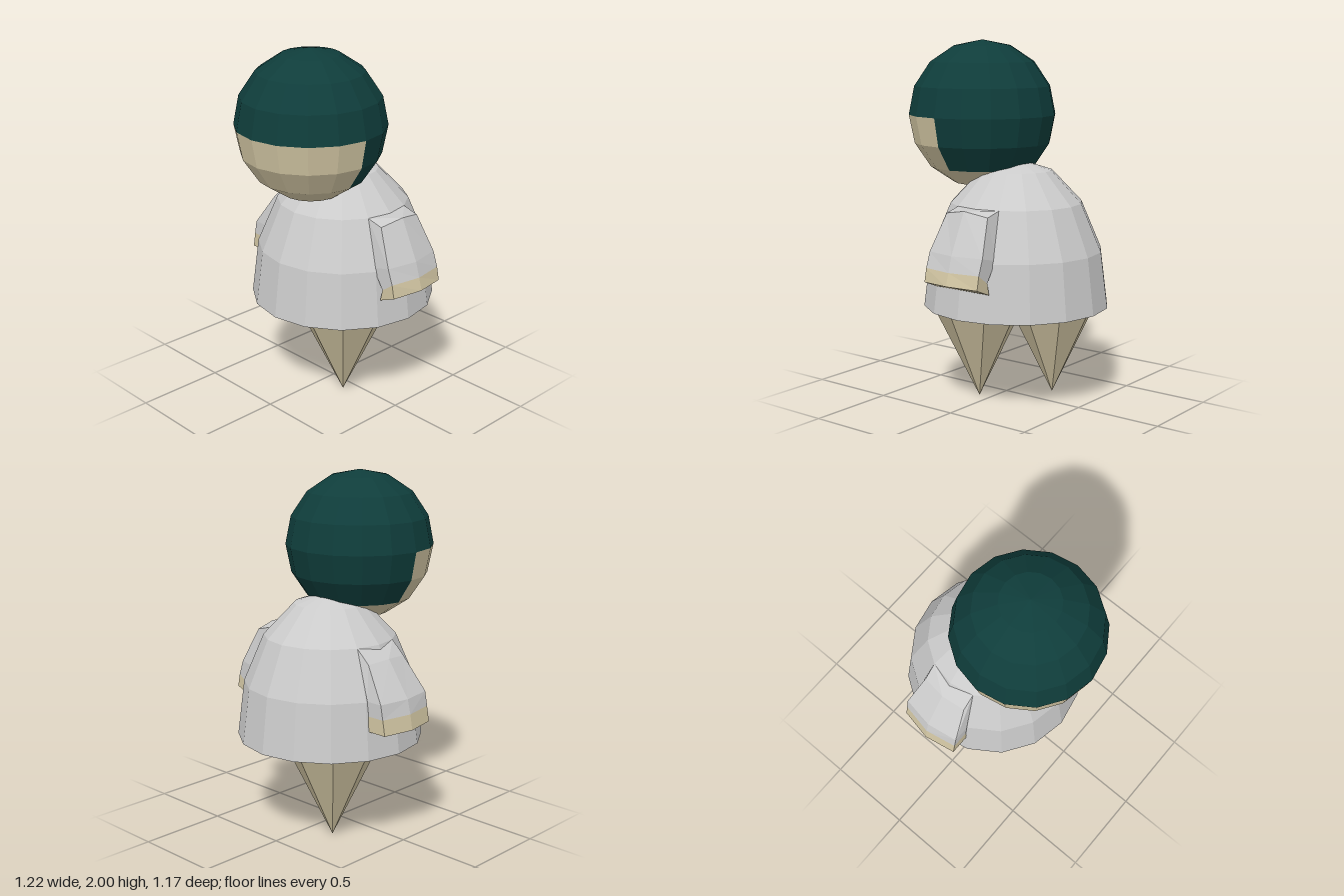
import * as THREE from 'three';

const make = (color, side = THREE.FrontSide) =>
  new THREE.MeshStandardMaterial({ color, side, flatShading: true });

export function createModel() {
  const group = new THREE.Group();
  const skin = make(0xd2c6a3);
  const hair = make(0x0f3d3b);
  const cloth = make(0xcccccc, THREE.DoubleSide);

  const add = (name, geometry, material, x = 0, y = 0, z = 0) => {
    const mesh = new THREE.Mesh(geometry, material);
    mesh.name = name;
    mesh.position.set(x, y, z);
    group.add(mesh);
  };

  // Head: one faceted ball split into hair and skin zones
  const PI = Math.PI;
  const headPart = (name, material, cols, rows, phi0, phi, th0, th) =>
    add(name, new THREE.SphereGeometry(0.415, cols, rows, phi0, phi, th0, th), material, 0, 1.585, 0.17);
  headPart('hairTop', hair, 16, 4, 0, 2 * PI, 0, PI / 2);
  headPart('hairBack', hair, 8, 2, PI, PI, PI / 2, PI / 4);
  headPart('face', skin, 8, 2, 0, PI, PI / 2, PI / 4);
  headPart('chin', skin, 16, 2, 0, 2 * PI, 0.75 * PI, PI / 4);

  // Robe: hollow dome, open at the hem
  const robe = new THREE.SphereGeometry(0.52, 16, 4, 0, 2 * PI, 0, PI / 2);
  robe.scale(1, 0.82 / 0.52, 1);
  add('robe', robe, cloth, 0, 0.53, -0.07);

  // Legs: eight-sided spikes, one stepping ahead of the other
  for (const [name, x, z] of [['leftLeg', 0.155, 0.075], ['rightLeg', -0.155, -0.21]]) {
    const leg = new THREE.ConeGeometry(0.285, 0.58, 8);
    leg.rotateX(PI);
    add(name, leg, skin, x, 0.29, z);
  }

  // Arm piece: rings of [inner x, y, corner x, y, middle x, y, half depth], top to bottom
  function armGeometry(sections, side) {
    const rings = sections.map(([xi, yi, xc, yc, xm, ym, h]) => [
      [xi, yi, h], [xc, yc, h], [xm, ym, 0], [xc, yc, -h], [xi, yi, -h],
    ].map(([x, y, z]) => [x * side, y, z - 0.07]));
    const pos = [];
    const tri = (a, b, c) => pos.push(...a, ...(side > 0 ? b : c), ...(side > 0 ? c : b));
    for (let i = 0; i < rings.length - 1; i++) {
      for (let j = 0; j < 5; j++) {
        const k = (j + 1) % 5, up = rings[i], low = rings[i + 1];
        tri(up[j], low[j], low[k]);
        tri(up[j], low[k], up[k]);
      }
    }
    const top = rings[0], end = rings[rings.length - 1];
    for (const [a, b] of [[3, 4], [4, 0], [0, 1]]) {
      tri(top[2], top[a], top[b]);
      tri(end[2], end[b], end[a]);
    }
    const g = new THREE.BufferGeometry();
    g.setAttribute('position', new THREE.Float32BufferAttribute(pos, 3));
    g.computeVertexNormals();
    return g;
  }

  // The left arm is raised a little; the right one hangs straight
  const arms = [
    ['left', 1, [
      [0.34, 1.11, 0.435, 1.085, 0.46, 1.11, 0.14],
      [0.42, 0.86, 0.53, 0.885, 0.565, 0.885, 0.18],
      [0.49, 0.75, 0.56, 0.8, 0.59, 0.8, 0.18],
      [0.475, 0.685, 0.575, 0.725, 0.61, 0.73, 0.18],
    ]],
    ['right', -1, [
      [0.34, 1.11, 0.42, 1.035, 0.44, 1.045, 0.14],
      [0.45, 0.85, 0.545, 0.85, 0.575, 0.85, 0.18],
      [0.46, 0.77, 0.56, 0.77, 0.595, 0.77, 0.18],
      [0.46, 0.685, 0.575, 0.685, 0.61, 0.685, 0.18],
    ]],
  ];
  for (const [name, side, rows] of arms) {
    add(name + 'Sleeve', armGeometry(rows.slice(0, 3), side), cloth);
    add(name + 'Hand', armGeometry(rows.slice(2), side), skin);
  }

  return group;
}
